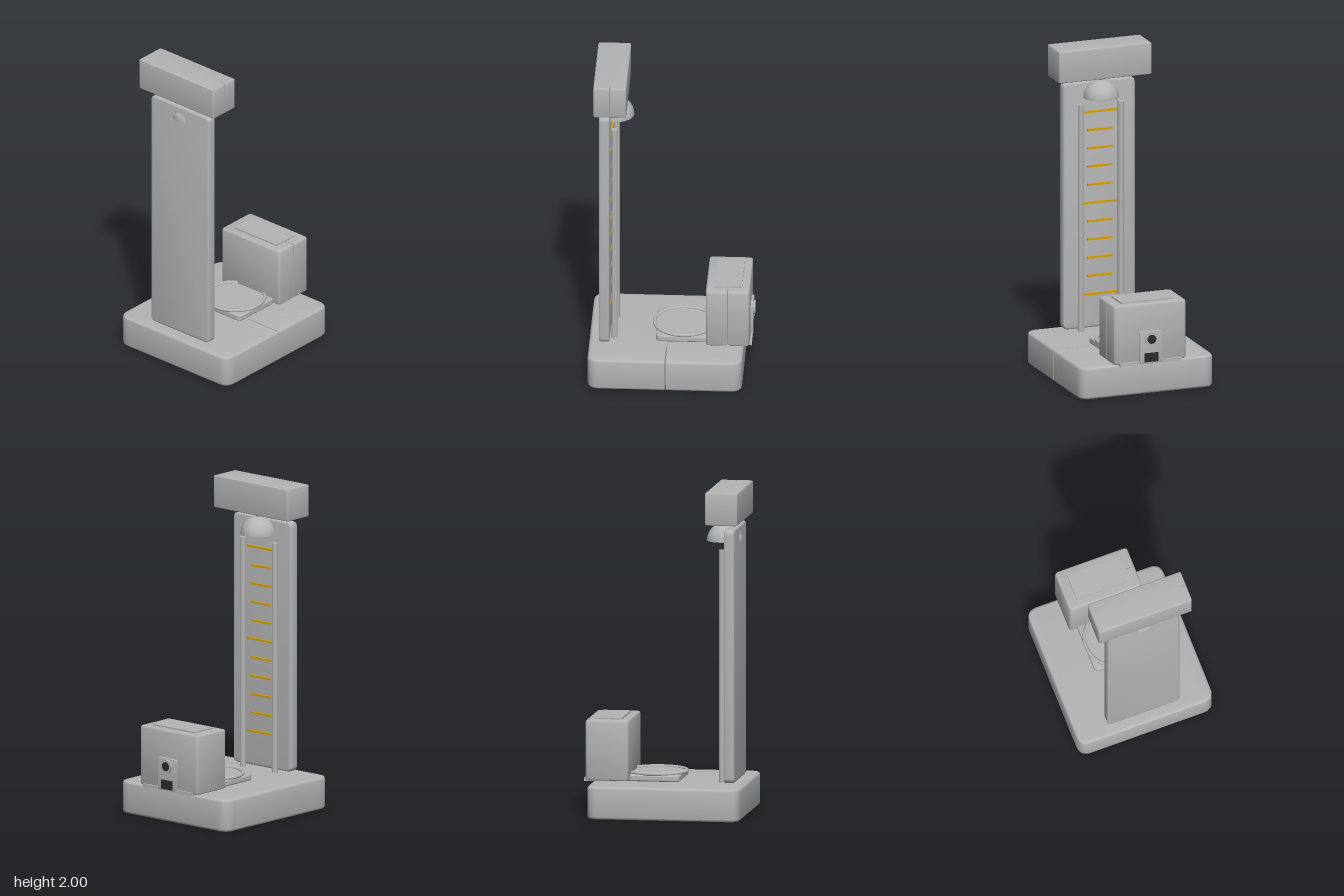
import * as THREE from 'three';
import { toCreasedNormals } from 'three/addons/utils/BufferGeometryUtils.js';

const mat = (name, color, side = THREE.FrontSide) => {
  const m = new THREE.MeshStandardMaterial({ color, side });
  m.name = name;
  return m;
};

// Rounded slab: outline w x d, thickness h along z, corner radius r, edge bevel b.
// slot = { from, at } cuts a thin slit from x = from to the +x edge at y = at.
function slab(w, d, h, r, b, slot) {
  const x = w / 2 - b, y = d / 2 - b, c = Math.max(r - b, 0.002), gap = 0.003;
  const s = new THREE.Shape();
  s.moveTo(-x + c, -y);
  s.lineTo(x - c, -y);
  s.quadraticCurveTo(x, -y, x, -y + c);
  if (slot) {
    const g = gap + b;
    s.lineTo(x, slot.at - g);
    s.lineTo(slot.from - b, slot.at - g);
    s.lineTo(slot.from - b, slot.at + g);
    s.lineTo(x, slot.at + g);
  }
  s.lineTo(x, y - c);
  s.quadraticCurveTo(x, y, x - c, y);
  s.lineTo(-x + c, y);
  s.quadraticCurveTo(-x, y, -x, y - c);
  s.lineTo(-x, -y + c);
  s.quadraticCurveTo(-x, -y, -x + c, -y);
  const geo = new THREE.ExtrudeGeometry(s, {
    depth: h - 2 * b, bevelThickness: b, bevelSize: b, bevelSegments: 3, curveSegments: 5,
  });
  geo.translate(0, 0, b - h / 2);
  // keep the slit narrow and straight through the bevel
  if (slot) {
    const p = geo.attributes.position;
    for (let i = 0; i < p.count; i++) {
      const off = p.getY(i) - slot.at;
      if (p.getX(i) > slot.from - b - 0.002 && Math.abs(off) < b + gap + 0.001) {
        p.setY(i, slot.at + Math.sign(off) * gap);
        if (p.getX(i) < slot.from + 0.001) p.setX(i, slot.from);
      }
    }
  }
  return geo;
}

export function createModel() {
  const model = new THREE.Group();
  const grey = mat('grey', 0xb4b4b4);
  const greyShell = mat('greyShell', 0xb4b4b4, THREE.DoubleSide);
  greyShell.color = grey.color;
  const yellow = mat('yellow', 0xd9a000);
  const dark = mat('dark', 0x2c2c2c);

  const add = (name, geo, material, x, y, z) => {
    const m = new THREE.Mesh(geo, material);
    m.name = name;
    m.position.set(x, y, z);
    model.add(m);
    return m;
  };
  const upright = (...a) => toCreasedNormals(slab(...a), 0.6);
  const flat = (...a) => toCreasedNormals(slab(...a).rotateX(-Math.PI / 2), 0.6);

  // base block with a slit on one side
  add('base', flat(0.875, 0.94, 0.2, 0.07, 0.016, { from: 0.19, at: 0.005 }), grey, 0, 0.1, 0.03);

  // tall panel and the header block above it
  add('panel', upright(0.47, 1.555, 0.065, 0.035, 0.012), grey, 0, 0.9875, 0.4075);
  add('header', flat(0.605, 0.2, 0.2, 0.012, 0.008, { from: 0.265, at: 0.003 }), grey, 0, 1.9, 0.37);

  // dome lamp hanging from a small knob
  add('dome', new THREE.SphereGeometry(0.11, 32, 12, 0, Math.PI * 2, 0, Math.PI / 2), greyShell, 0, 1.67, 0.345);
  add('domeKnob', new THREE.SphereGeometry(0.016, 16, 10), grey, 0, 1.788, 0.345);
  add('domeNeck', new THREE.CylinderGeometry(0.018, 0.01, 0.014, 16), grey, 0, 1.797, 0.345);

  // side rails with scale marks between them
  for (const side of [-1, 1]) {
    add(side > 0 ? 'leftRail' : 'rightRail',
      new THREE.CylinderGeometry(0.019, 0.019, 1.435, 20), grey, side * 0.13, 0.9125, 0.349);
  }
  for (let i = 0; i <= 10; i++) {
    const len = i % 5 === 0 ? 0.22 : 0.16;
    add('scaleMark', new THREE.BoxGeometry(len, 0.012, 0.014), yellow, 0, 0.425 + i * 0.115, 0.369);
  }

  // rear tank with its lid and foot strip
  add('tank', flat(0.47, 0.266, 0.37, 0.022, 0.012, { from: 0.17, at: 0 }), grey, 0, 0.395, -0.344);
  add('tankLid', new THREE.BoxGeometry(0.34, 0.012, 0.168), grey, 0, 0.583, -0.345);
  add('tankFoot', new THREE.BoxGeometry(0.4, 0.02, 0.2), grey, 0, 0.213, -0.39);

  // round tray in front of the tank
  add('tray', flat(0.37, 0.33, 0.04, 0.035, 0.01), grey, 0, 0.224, -0.07);
  add('trayRing', new THREE.TorusGeometry(0.182, 0.011, 12, 40).rotateX(Math.PI / 2), grey, 0, 0.25, -0.07);
  add('trayDisc', new THREE.CylinderGeometry(0.178, 0.178, 0.01, 40), grey, 0, 0.243, -0.07);

  // control plate on the back with dial and grille
  add('controlPlate', upright(0.15, 0.2, 0.022, 0.015, 0.004), grey, 0, 0.31, -0.481);
  add('dial', new THREE.CylinderGeometry(0.042, 0.042, 0.02, 28).rotateX(Math.PI / 2), grey, 0, 0.36, -0.493);
  add('dialFace', new THREE.CylinderGeometry(0.028, 0.028, 0.004, 24).rotateX(Math.PI / 2), dark, 0, 0.36, -0.504);
  add('grille', new THREE.BoxGeometry(0.09, 0.056, 0.006), dark, 0, 0.245, -0.494);

  return model;
}
